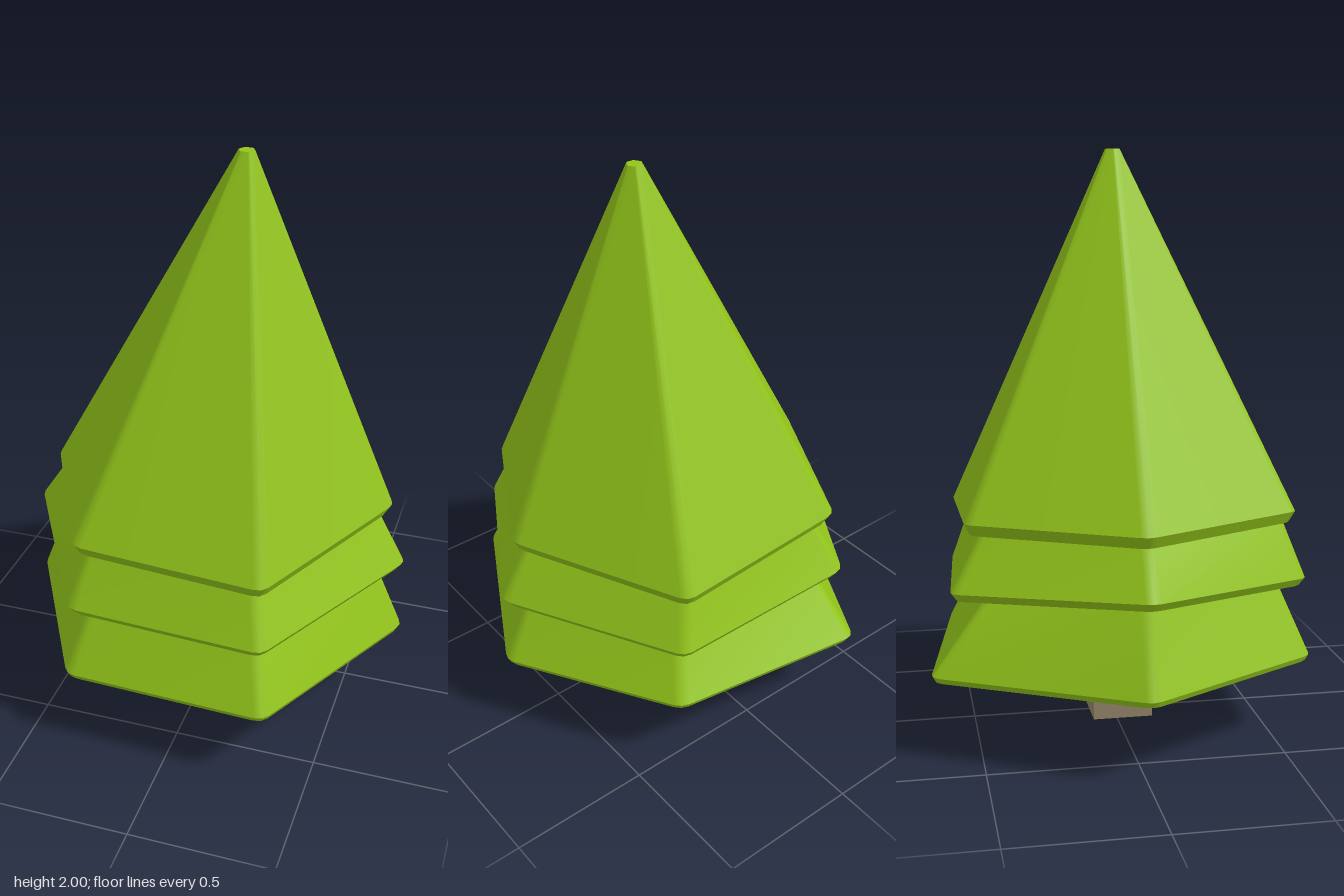
import * as THREE from 'three';

const V = (x, y, z) => new THREE.Vector3(x, y, z);

// Softens every corner of a six-cornered ring into three points
function roundRing(corners, d) {
  const out = [];
  corners.forEach((p, i) => {
    const n = corners.length;
    const toward = (q) => p.clone().add(q.clone().sub(p).setLength(d));
    const a = toward(corners[(i + n - 1) % n]);
    const b = toward(corners[(i + 1) % n]);
    const mid = p.clone().multiplyScalar(2).add(a).add(b).divideScalar(4);
    out.push(a, mid, b);
  });
  return out;
}

// Skins stacked rings; each band has its own vertices so rims stay crisp
function skin(rings) {
  const pos = [], index = [];
  const add = (ring) => {
    const start = pos.length / 3;
    ring.forEach((p) => pos.push(p.x, p.y, p.z));
    return start;
  };
  const n = rings[0].length;
  for (let r = 0; r < rings.length - 1; r++) {
    const a = add(rings[r]), b = add(rings[r + 1]);
    for (let i = 0; i < n; i++) {
      const j = (i + 1) % n;
      index.push(a + i, a + j, b + j, a + i, b + j, b + i);
    }
  }
  // End caps: underside and top
  const cap = (ring, up) => {
    const s = add(ring);
    const centre = ring.reduce((c, p) => c.add(p), V(0, 0, 0)).divideScalar(n);
    const c = add([centre]);
    for (let i = 0; i < n; i++) {
      const j = (i + 1) % n;
      index.push(c, s + (up ? i : j), s + (up ? j : i));
    }
  };
  cap(rings[0], false);
  cap(rings[rings.length - 1], true);
  const g = new THREE.BufferGeometry();
  g.setAttribute('position', new THREE.Float32BufferAttribute(pos, 3));
  g.setIndex(index);
  g.computeVertexNormals();
  return g;
}

// Corners run left, back left, back right, right, front right, front left
const tiers = [
  {
    name: 'lowerBranches', drop: 0.02, inset: 0.985,
    rim: [[0.7, 0.285, 0.01], [0.355, 0.285, -0.555], [-0.355, 0.285, -0.665],
      [-0.705, 0.285, 0.01], [-0.355, 0.285, 0.63], [0.355, 0.285, 0.655]],
    top: [[0.58, 0.56, 0.01], [0.28, 0.54, -0.44], [-0.28, 0.56, -0.45],
      [-0.59, 0.57, 0.01], [-0.29, 0.55, 0.52], [0.29, 0.55, 0.53]],
  },
  {
    name: 'middleBranches', drop: 0.028, inset: 0.97,
    rim: [[0.695, 0.56, 0.01], [0.34, 0.51, -0.55], [-0.34, 0.56, -0.595],
      [-0.695, 0.6, 0.01], [-0.34, 0.555, 0.615], [0.34, 0.54, 0.635]],
    top: [[0.585, 0.76, 0.01], [0.28, 0.75, -0.475], [-0.28, 0.76, -0.485],
      [-0.585, 0.76, 0.01], [-0.29, 0.76, 0.54], [0.29, 0.75, 0.54]],
  },
  {
    name: 'upperBranches', drop: 0.04, inset: 0.965,
    rim: [[0.64, 0.79, 0.01], [0.325, 0.74, -0.545], [-0.325, 0.787, -0.545],
      [-0.615, 0.79, 0.01], [-0.325, 0.787, 0.58], [0.325, 0.745, 0.58]],
    top: Array.from({ length: 6 }, (_, i) => [
      0.097 + 0.028 * Math.cos(i * Math.PI / 3), 2, 0.018 - 0.028 * Math.sin(i * Math.PI / 3)]),
  },
];

export function createModel() {
  const tree = new THREE.Group();
  tree.name = 'tree';
  const green = new THREE.MeshStandardMaterial({ color: 0x92c41a });
  const brown = new THREE.MeshStandardMaterial({ color: 0x958569 });

  // Tilted, tapering branch tiers with a narrow rim below
  for (const { name, drop, inset, rim, top } of tiers) {
    const edge = rim.map((p) => V(...p));
    const under = edge.map((p) => V(p.x * inset, p.y - drop, p.z * inset));
    const tip = top.map((p) => V(...p));
    const mesh = new THREE.Mesh(skin([
      roundRing(under, 0.03), roundRing(edge, 0.03),
      roundRing(tip, name === 'upperBranches' ? 0.004 : 0.025),
    ]), green);
    mesh.name = name;
    tree.add(mesh);
  }

  // Square trunk
  const trunk = new THREE.Mesh(new THREE.BoxGeometry(0.212, 0.3, 0.212), brown);
  trunk.name = 'trunk';
  trunk.position.set(0, 0.15, 0.022);
  tree.add(trunk);
  return tree;
}
